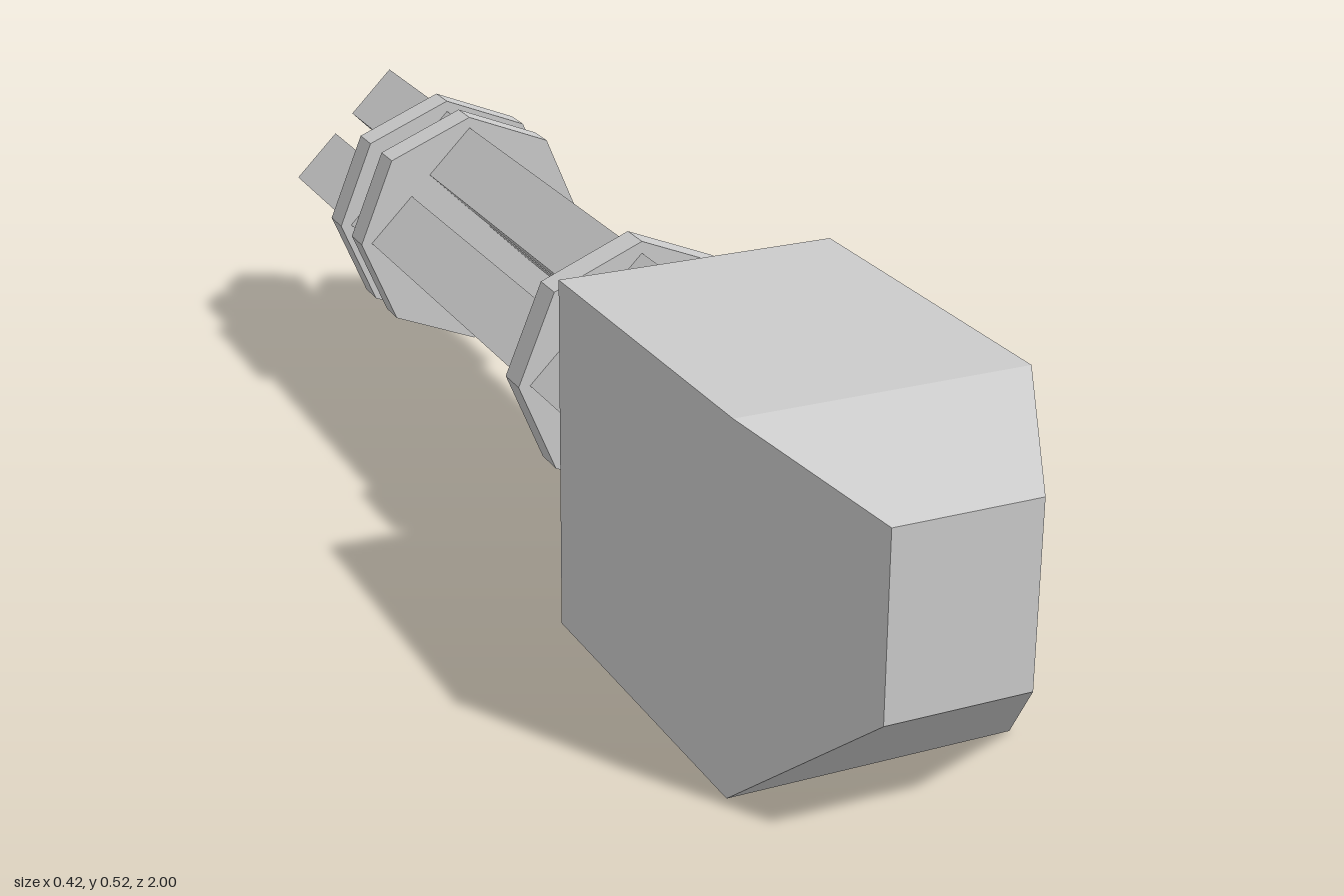
import * as THREE from 'three';

const AXIS_Y = 0.295; // height of the barrel cluster's axis
const material = new THREE.MeshStandardMaterial({ color: 0xcccccc, flatShading: true });

// Prism lying along z, with corners on the x and y axes
function prism(name, radius, sides, zBack, zFront, x, y) {
  const geometry = new THREE.CylinderGeometry(radius, radius, zFront - zBack, sides);
  geometry.rotateX(Math.PI / 2);
  const mesh = new THREE.Mesh(geometry, material);
  mesh.name = name;
  mesh.position.set(x, y, (zBack + zFront) / 2);
  return mesh;
}

// Box with a second depth segment, whose front end narrows to a smaller rectangle
function createHousing() {
  const geometry = new THREE.BoxGeometry(2, 2, 2, 1, 1, 2);
  const pos = geometry.attributes.position;
  const sections = [
    { z: 0.263, w: 0.21, y0: 0, y1: 0.525 },
    { z: 0.795, w: 0.21, y0: 0, y1: 0.525 },
    { z: 1, w: 0.105, y0: 0.185, y1: 0.448 },
  ];
  for (let i = 0; i < pos.count; i++) {
    const s = sections[Math.round(pos.getZ(i)) + 1];
    pos.setXYZ(i, pos.getX(i) * s.w, pos.getY(i) > 0 ? s.y1 : s.y0, s.z);
  }
  geometry.computeVertexNormals();
  const mesh = new THREE.Mesh(geometry, material);
  mesh.name = 'housing';
  return mesh;
}

export function createModel() {
  const model = new THREE.Group();
  model.name = 'rotaryGun';
  model.add(createHousing());

  // Four square barrels set on edge around the axis
  const barrels = new THREE.Group();
  barrels.name = 'barrels';
  for (let i = 0; i < 4; i++) {
    const a = (i * Math.PI) / 2;
    barrels.add(prism('barrel', 0.073, 4, -1, 0.265,
      0.106 * Math.cos(a), AXIS_Y + 0.106 * Math.sin(a)));
  }
  model.add(barrels);

  // Octagonal clamp plates
  const clamps = new THREE.Group();
  clamps.name = 'clampPlates';
  for (const z of [0.055, -0.632, -0.737]) {
    clamps.add(prism('clampPlate', 0.197, 8, z - 0.025, z + 0.025, 0, AXIS_Y));
  }
  model.add(clamps);

  return model;
}
